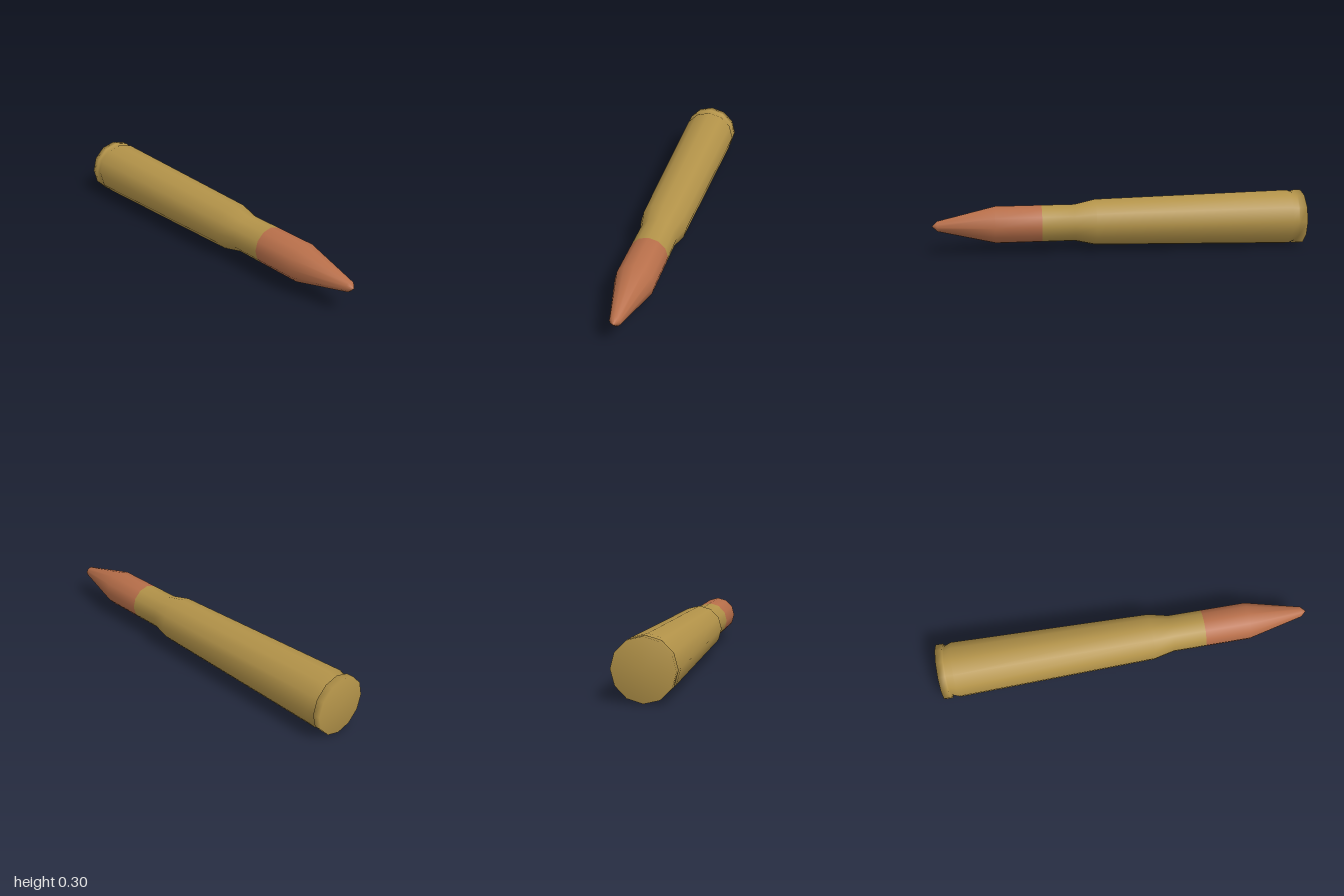
import * as THREE from 'three';

const SIDES = 12;
const AXIS_HEIGHT = 0.15;

// Turned part lying along z; profile is a list of [radius, z], back to front
function turned(name, profile, material) {
  const points = profile.map(([r, z]) => new THREE.Vector2(r, z));
  const geometry = new THREE.LatheGeometry(points, SIDES);
  geometry.rotateX(Math.PI / 2);
  const mesh = new THREE.Mesh(geometry, material);
  mesh.name = name;
  mesh.position.y = AXIS_HEIGHT;
  return mesh;
}

export function createModel() {
  const brass = new THREE.MeshStandardMaterial({ color: 0xb39349 });
  brass.name = 'brass';
  const copper = new THREE.MeshStandardMaterial({ color: 0xb86f4a });
  copper.name = 'copper';

  const group = new THREE.Group();
  group.name = 'cartridge';

  // Case: flat base, rim, extractor groove, tapered body, shoulder and neck
  group.add(turned('case', [
    [0, -1],
    [0.15, -1],
    [0.15, -0.962],
    [0.135, -0.958],
    [0.15, -0.92],
    [0.125, 0.14],
    [0.1, 0.25],
    [0.1, 0.425],
  ], brass));

  // Bullet: straight shank, tapered nose and blunt tip
  group.add(turned('bullet', [
    [0.1, 0.425],
    [0.1, 0.67],
    [0.028, 0.972],
    [0, 1],
  ], copper));

  return group;
}
